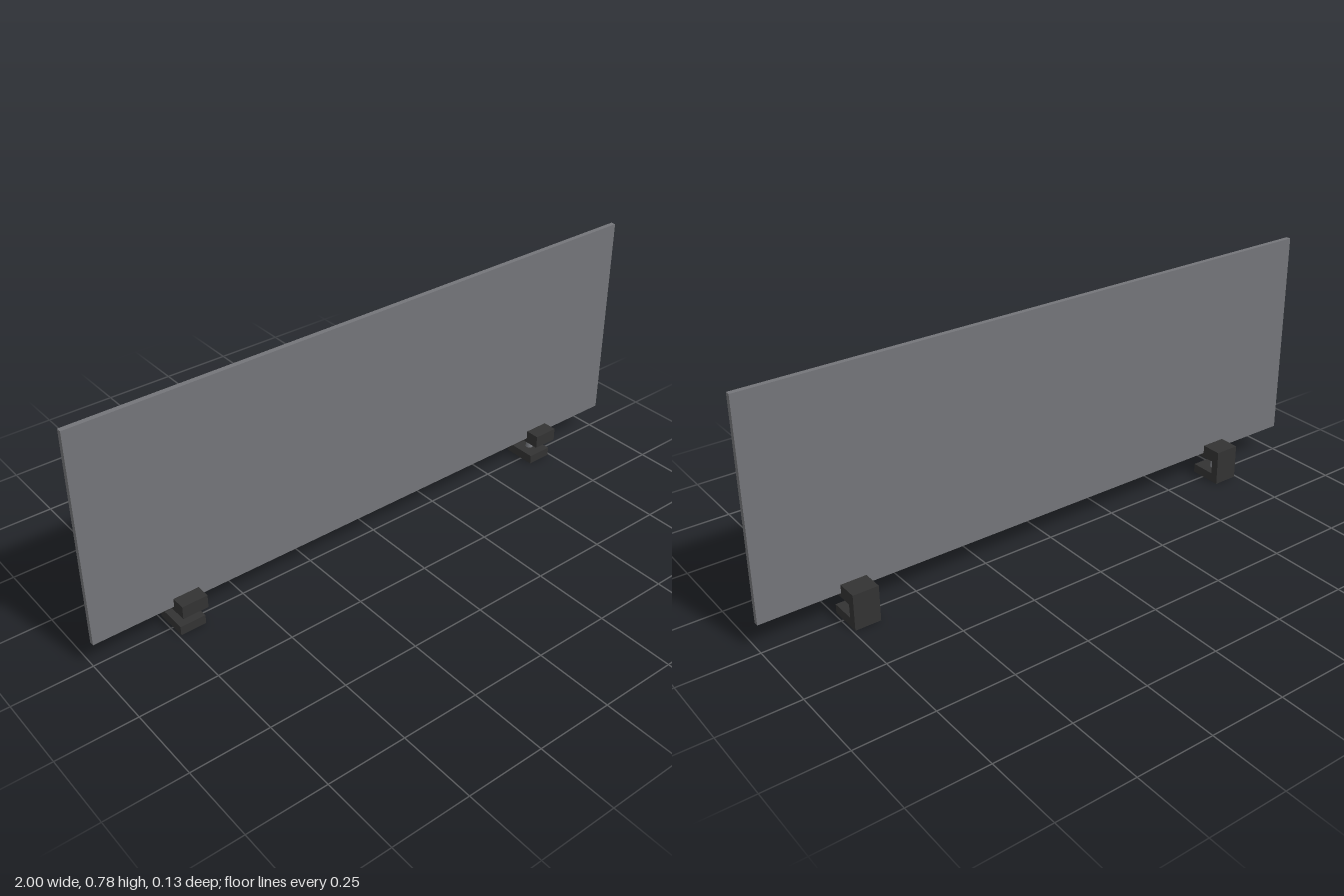
import * as THREE from 'three';

export function createModel() {
  const group = new THREE.Group();
  group.name = 'deskScreen';

  const panelGrey = new THREE.MeshStandardMaterial({ name: 'panel grey', color: 0x747579 });
  const clampBlack = new THREE.MeshStandardMaterial({ name: 'clamp black', color: 0x333333 });
  const screwGrey = new THREE.MeshStandardMaterial({ name: 'screw grey', color: 0x77797e, flatShading: true });

  // Upright screen panel
  const panel = new THREE.Mesh(new THREE.BoxGeometry(2, 0.695, 0.016), panelGrey);
  panel.name = 'panel';
  panel.position.set(0, 0.4375, 0.011);
  group.add(panel);

  // C-shaped clamp profile as (z, y), open to the front
  const profile = [
    [-0.066, 0], [0.044, 0], [0.044, 0.03], [-0.04, 0.03],
    [-0.04, 0.075], [0.066, 0.075], [0.066, 0.118], [-0.066, 0.118],
  ];
  const shape = new THREE.Shape(profile.map(([z, y]) => new THREE.Vector2(z, y)));
  const width = 0.084;
  const clampGeometry = new THREE.ExtrudeGeometry(shape, { depth: width, bevelEnabled: false });
  clampGeometry.translate(0, 0, -width / 2);
  clampGeometry.rotateY(-Math.PI / 2);

  // Tapered screw tip rising from the lower jaw
  const screwGeometry = new THREE.CylinderGeometry(0.01, 0.0125, 0.02, 12);

  for (const side of [-1, 1]) {
    const mount = new THREE.Group();
    mount.name = side > 0 ? 'leftMount' : 'rightMount';
    mount.position.x = side * 0.7;

    const clamp = new THREE.Mesh(clampGeometry, clampBlack);
    clamp.name = 'clamp';
    const screw = new THREE.Mesh(screwGeometry, screwGrey);
    screw.name = 'screwTip';
    screw.position.set(0, 0.04, -0.006);

    mount.add(clamp, screw);
    group.add(mount);
  }
  return group;
}
